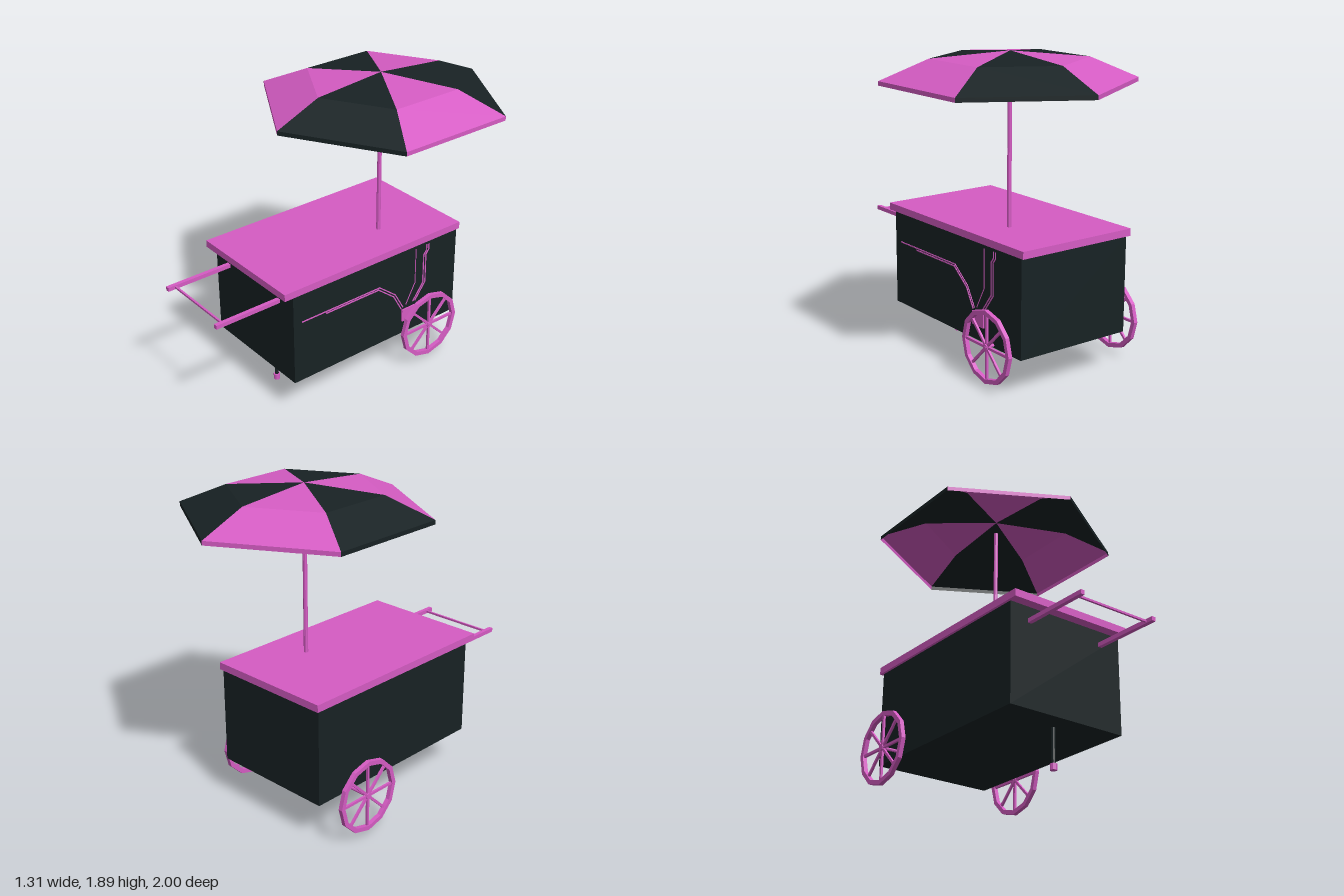
import * as THREE from 'three';

const pink = new THREE.MeshStandardMaterial({ color: 0xd65cc4, flatShading: true });
const dark = new THREE.MeshStandardMaterial({ color: 0x182224, flatShading: true });

function add(parent, name, geometry, material, x = 0, y = 0, z = 0) {
  const mesh = new THREE.Mesh(geometry, material);
  mesh.name = name;
  mesh.position.set(x, y, z);
  parent.add(mesh);
  return mesh;
}

// Box given by its lower and upper corners
function block(parent, name, material, [x0, y0, z0], [x1, y1, z1]) {
  return add(parent, name, new THREE.BoxGeometry(x1 - x0, y1 - y0, z1 - z0), material,
    (x0 + x1) / 2, (y0 + y1) / 2, (z0 + z1) / 2);
}

// Spoked twelve-sided wheel in the yz plane
function makeWheel(name, x) {
  const wheel = new THREE.Group();
  wheel.name = name;
  wheel.position.set(x, 0.255, -0.44);
  const width = 0.026;
  const ring = (r) => Array.from({ length: 12 }, (_, i) =>
    new THREE.Vector2(r * Math.cos(i * Math.PI / 6), r * Math.sin(i * Math.PI / 6)));
  const shape = new THREE.Shape(ring(0.22));
  shape.holes.push(new THREE.Path(ring(0.193)));
  const rim = new THREE.ExtrudeGeometry(shape, { depth: width, bevelEnabled: false });
  rim.translate(0, 0, -width / 2);
  rim.rotateY(Math.PI / 2);
  add(wheel, 'rim', rim, pink);
  for (let i = 0; i < 4; i++) {
    const spoke = add(wheel, 'spokePair', new THREE.BoxGeometry(0.013, 0.395, 0.015), pink);
    spoke.rotation.x = i * Math.PI / 4;
  }
  const hub = add(wheel, 'hub', new THREE.CylinderGeometry(0.02, 0.02, width, 8), pink);
  hub.rotation.z = Math.PI / 2;
  return wheel;
}

// Thin raised line along [z, y] points on the side panel
function trimLine(parent, points, width) {
  for (let i = 0; i < points.length - 1; i++) {
    const [z0, y0] = points[i], [z1, y1] = points[i + 1];
    const length = Math.hypot(z1 - z0, y1 - y0);
    const piece = add(parent, 'trimPiece', new THREE.BoxGeometry(0.008, width, length + width * 0.5),
      pink, 0.26, (y0 + y1) / 2, (z0 + z1) / 2);
    piece.rotation.x = -Math.atan2(y1 - y0, z1 - z0);
  }
}

export function createModel() {
  const cart = new THREE.Group();
  cart.name = 'vendorCart';

  // Cabinet and counter
  block(cart, 'cabinet', dark, [-0.51, 0.24, -0.69], [0.26, 0.83, 0.57]);
  block(cart, 'counterTop', pink, [-0.525, 0.828, -0.71], [0.265, 0.872, 0.63]);

  // Push handle
  const handle = new THREE.Group();
  handle.name = 'pushHandle';
  cart.add(handle);
  for (const x of [-0.38, 0.12])
    block(handle, 'handleArm', pink, [x - 0.0125, 0.732, 0.56], [x + 0.0125, 0.757, 1]);
  block(handle, 'handleGrip', pink, [-0.38, 0.739, 0.944], [0.12, 0.751, 0.956]);

  // Front support leg
  add(cart, 'leg', new THREE.CylinderGeometry(0.012, 0.012, 0.22, 8), dark, -0.115, 0.14, 0.435);
  add(cart, 'foot', new THREE.CylinderGeometry(0.02, 0.02, 0.036, 8), pink, -0.115, 0.018, 0.435);

  // Wheels and axle
  cart.add(makeWheel('leftWheel', 0.308), makeWheel('rightWheel', -0.642));
  const axle = add(cart, 'axle', new THREE.CylinderGeometry(0.01, 0.01, 0.975, 8), pink, -0.1625, 0.255, -0.44);
  axle.rotation.z = Math.PI / 2;

  // Pipe trim and junction box on the left side
  const trim = new THREE.Group();
  trim.name = 'sideTrim';
  cart.add(trim);
  trimLine(trim, [[0.51, 0.643], [-0.07, 0.643], [-0.195, 0.544], [-0.26, 0.43]], 0.007);
  trimLine(trim, [[0.335, 0.63], [-0.062, 0.63], [-0.183, 0.534], [-0.247, 0.42]], 0.007);
  const riser = [[-0.46, 0.806], [-0.46, 0.77], [-0.438, 0.74], [-0.438, 0.545], [-0.36, 0.44]];
  trimLine(trim, riser, 0.007);
  trimLine(trim, riser.map(([z, y]) => [z + 0.018, y]), 0.007);
  trimLine(trim, [[-0.355, 0.806], [-0.355, 0.57], [-0.285, 0.44]], 0.004);
  block(trim, 'junctionBox', pink, [0.25, 0.33, -0.355], [0.27, 0.412, -0.25]);

  // Umbrella with alternating panels
  const umbrella = new THREE.Group();
  umbrella.name = 'umbrella';
  umbrella.position.set(0.015, 0, -0.265);
  cart.add(umbrella);
  add(umbrella, 'pole', new THREE.CylinderGeometry(0.013, 0.013, 0.95, 8), pink, 0, 1.335, 0);
  const profile = [[0.735, 1.705], [0.735, 1.73], [0.454, 1.85], [0, 1.89]]
    .map(([r, y]) => new THREE.Vector2(r, y));
  const cloth = [dark, pink].map((m) => {
    const c = m.clone();
    c.side = THREE.DoubleSide;
    return c;
  });
  for (let i = 0; i < 6; i++)
    add(umbrella, 'canopyPanel', new THREE.LatheGeometry(profile, 1, i * Math.PI / 3, Math.PI / 3), cloth[i % 2]);

  return cart;
}
